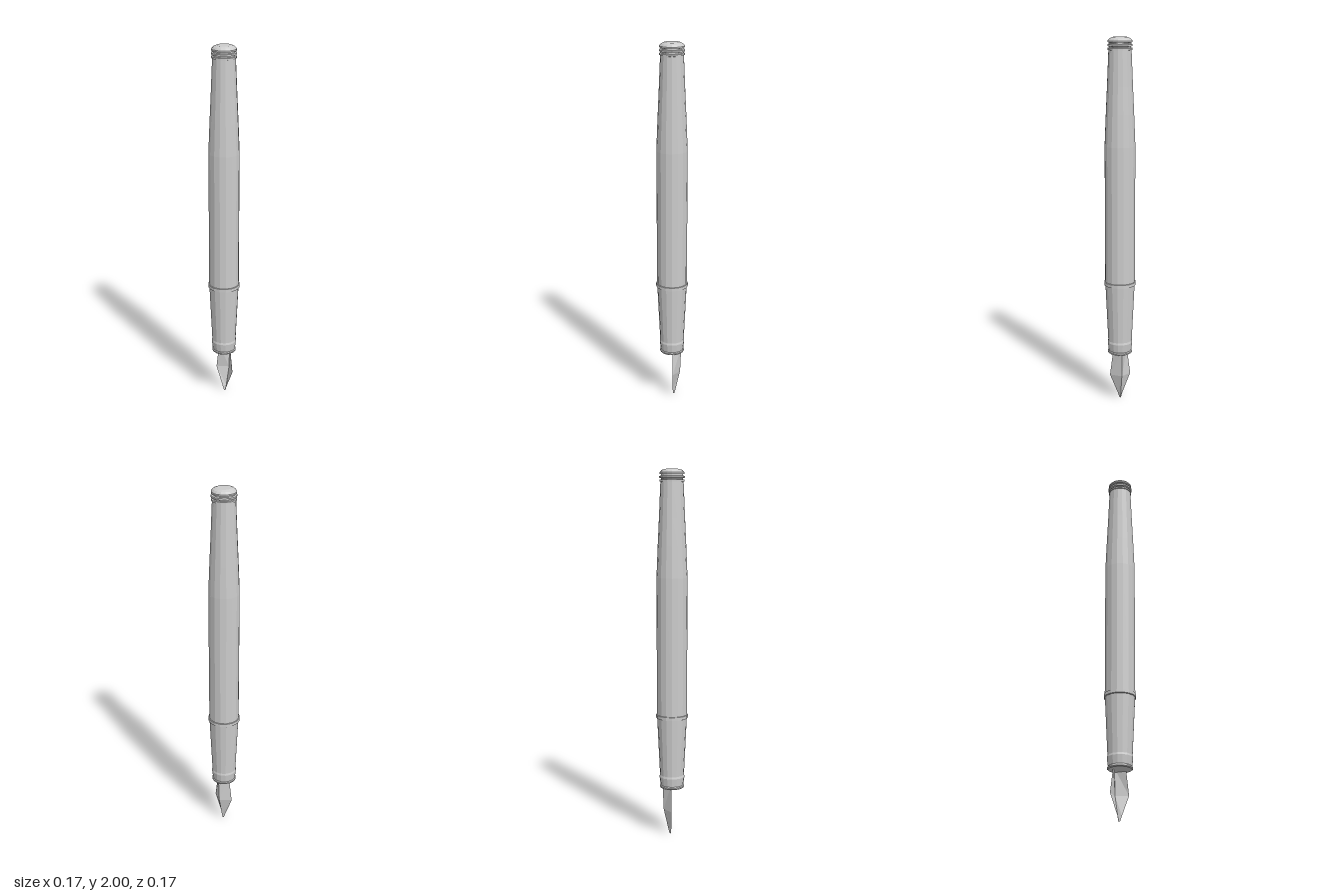
import * as THREE from 'three';

const SIDES = 16;
const material = new THREE.MeshStandardMaterial({ color: 0xcccccc, flatShading: true });
const shellMaterial = new THREE.MeshStandardMaterial({
  color: 0xcccccc, flatShading: true, side: THREE.DoubleSide,
});

// Turned part from [radius, height] pairs, listed bottom to top
function turned(name, profile) {
  const points = profile.map(([r, y]) => new THREE.Vector2(r, y));
  const mesh = new THREE.Mesh(new THREE.LatheGeometry(points, SIDES), material);
  mesh.name = name;
  return mesh;
}

// Arched nib: each section runs edge, ridge, edge
function createNib() {
  const sections = [
    // y, half width, edge x, ridge x
    [0.29, 0.038, 0.004, 0.052],
    [0.14, 0.058, 0.004, 0.046],
    [0.03, 0.014, 0.004, 0.021],
    [0.0, 0.004, 0.006, 0.014],
  ];
  const positions = [];
  const indices = [];
  sections.forEach(([y, w, edge, ridge], i) => {
    positions.push(edge, y, w, ridge, y, 0, edge, y, -w);
    if (i === 0) return;
    for (let j = 0; j < 2; j++) {
      const a = (i - 1) * 3 + j;
      const b = a + 3;
      indices.push(a, b, a + 1, a + 1, b, b + 1);
    }
  });
  const geometry = new THREE.BufferGeometry();
  geometry.setAttribute('position', new THREE.Float32BufferAttribute(positions, 3));
  geometry.setIndex(indices);
  geometry.computeVertexNormals();
  const mesh = new THREE.Mesh(geometry, shellMaterial);
  mesh.name = 'nib';
  return mesh;
}

export function createModel() {
  const pen = new THREE.Group();
  pen.name = 'fountainPen';

  pen.add(createNib());

  // Grip section with a flared lip and a small step
  pen.add(turned('grip', [
    [0, 0.268], [0.062, 0.268], [0.067, 0.272], [0.067, 0.279], [0.063, 0.284],
    [0.069, 0.33], [0.066, 0.341], [0.081, 0.66],
  ]));

  // Raised ring between grip and barrel
  pen.add(turned('centreRing', [
    [0.078, 0.66], [0.087, 0.662], [0.087, 0.68], [0.078, 0.682],
  ]));

  // Straight barrel tapering toward the end
  pen.add(turned('barrel', [
    [0.082, 0.68], [0.083, 1.43], [0.076, 1.6], [0.069, 1.75], [0.061, 1.94],
  ]));

  // Stacked rings and domed finial
  pen.add(turned('endRing', [
    [0.058, 1.933], [0.066, 1.935], [0.066, 1.944], [0.058, 1.946],
  ]));
  pen.add(turned('upperEndRing', [
    [0.058, 1.952], [0.067, 1.954], [0.067, 1.963], [0.058, 1.966],
  ]));
  pen.add(turned('finial', [
    [0.058, 1.94], [0.058, 1.972], [0.066, 1.974], [0.066, 1.982],
    [0.056, 1.993], [0.04, 2.0], [0, 2.0],
  ]));

  return pen;
}
